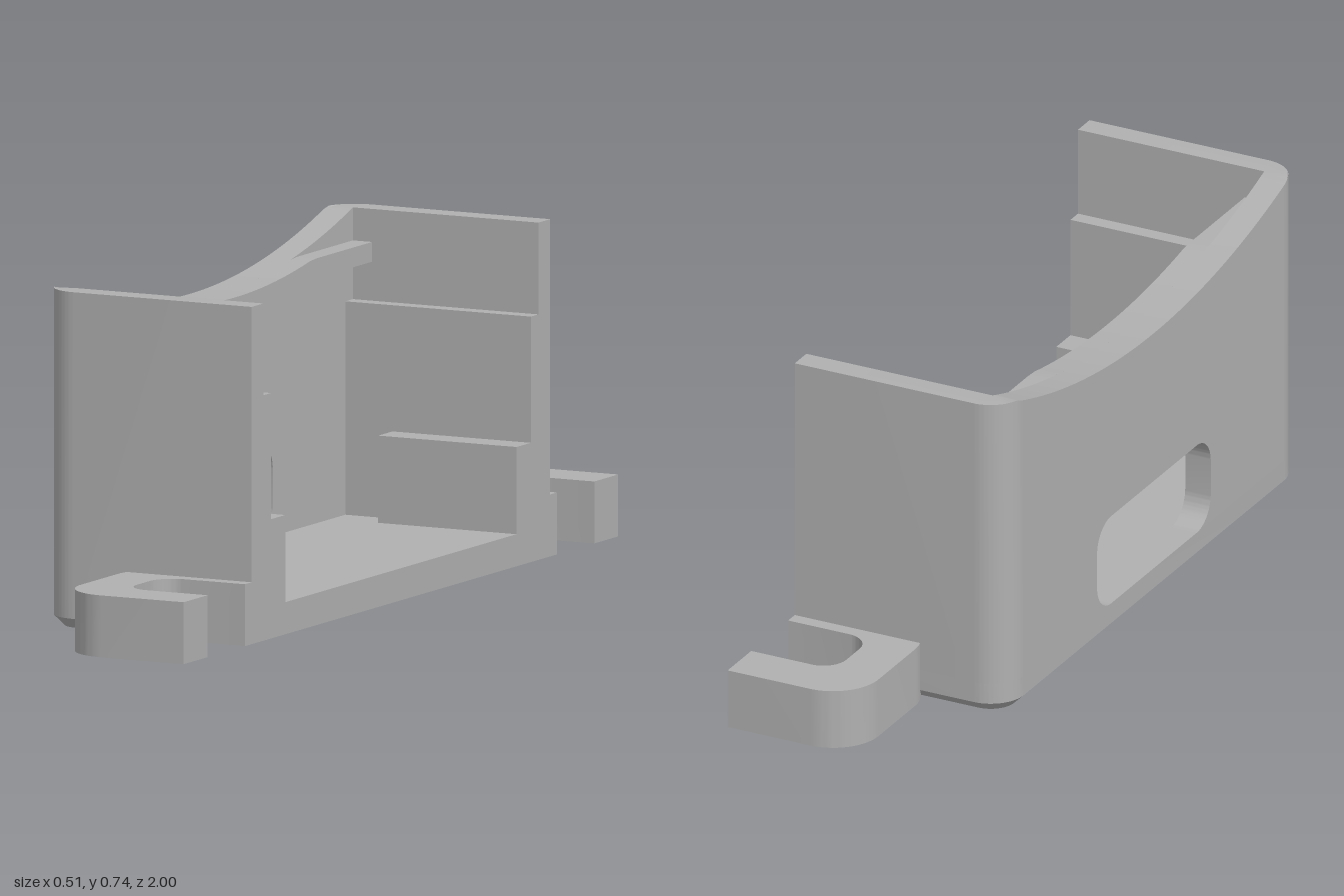
import * as THREE from 'three';
import { toCreasedNormals } from 'three/addons/utils/BufferGeometryUtils.js';

const XB = -0.257, XF = 0.257;        // closed back and open front along x
const ZO = 0.687, R = 0.08;           // outer half width and corner radius
const XI = -0.195, ZI = 0.633;        // inner faces of the walls
const TOP = 0.735, FLOOR = 0.07;
const DIP = 0.105, ARC_R = (ZI * ZI + DIP * DIP) / (2 * DIP);

// Height of the scooped rim at a given z
const rimY = (z) => Math.abs(z) >= ZI
  ? TOP
  : TOP - DIP + ARC_R - Math.sqrt(ARC_R * ARC_R - z * z);

const extrude = (shape, depth, steps = 1) =>
  new THREE.ExtrudeGeometry(shape, { depth, steps, bevelEnabled: false, curveSegments: 12 });

// Plan outlines (x, -z) become solids standing on y = 0
const upright = (shape, depth, steps) => extrude(shape, depth, steps).rotateX(-Math.PI / 2);

// Elevation outlines (z, y) become slabs starting at x0
const slab = (shape, x0, x1) => extrude(shape, x1 - x0).rotateY(Math.PI / 2).translate(x0, 0, 0);

// Move every vertex by a rule
function reshape(geo, rule) {
  const p = geo.attributes.position, v = new THREE.Vector3();
  for (let i = 0; i < p.count; i++) {
    rule(v.fromBufferAttribute(p, i));
    p.setXYZ(i, v.x, v.y, v.z);
  }
  return geo;
}

export function createModel() {
  const model = new THREE.Group();
  model.name = 'bracketHousing';
  const grey = new THREE.MeshStandardMaterial({ color: 0xb0b0b0 });
  grey.name = 'plain grey';

  const add = (parent, name, geo) => {
    const mesh = new THREE.Mesh(toCreasedNormals(geo, 0.5), grey);
    mesh.name = name;
    parent.add(mesh);
  };
  const addBox = (parent, name, x0, x1, y0, y1, z0, z1) => add(parent, name,
    new THREE.BoxGeometry(x1 - x0, y1 - y0, z1 - z0)
      .translate((x0 + x1) / 2, (y0 + y1) / 2, (z0 + z1) / 2));

  // Floor with rounded back corners and a chamfered lower edge
  const plan = new THREE.Shape();
  plan.moveTo(XF, -ZO);
  plan.lineTo(XF, ZO);
  plan.lineTo(XB + R, ZO);
  plan.absarc(XB + R, ZO - R, R, Math.PI / 2, Math.PI, false);
  plan.lineTo(XB, -ZO + R);
  plan.absarc(XB + R, -ZO + R, R, Math.PI, Math.PI * 1.5, false);
  const chamfer = 0.023, k = (R - chamfer) / R, xc = XB + R, zc = ZO - R;
  add(model, 'floor', reshape(upright(plan, FLOOR, 2), (v) => {
    if (v.y < 0.01) {
      if (v.x < xc) v.x = xc + (v.x - xc) * k;
      if (Math.abs(v.z) > zc) v.z = Math.sign(v.z) * (zc + (Math.abs(v.z) - zc) * k);
    } else if (v.y < FLOOR - 0.01) v.y = chamfer;
  }));

  // Back wall with scooped rim and rounded cable opening
  const wall = new THREE.Shape();
  const hw = 0.265, hr = 0.065, hTop = 0.278;
  wall.moveTo(-zc, FLOOR);
  wall.lineTo(-hw + hr, FLOOR);
  wall.absarc(-hw + hr, FLOOR + hr, hr, -Math.PI / 2, -Math.PI, true);
  wall.absarc(-hw + hr, hTop - hr, hr, Math.PI, Math.PI / 2, true);
  wall.absarc(hw - hr, hTop - hr, hr, Math.PI / 2, 0, true);
  wall.absarc(hw - hr, FLOOR + hr, hr, 0, -Math.PI / 2, true);
  wall.lineTo(zc, FLOOR);
  const N = 40;
  for (let i = 0; i <= N; i++) {
    const z = zc * (1 - 2 * i / N);
    wall.lineTo(z, rimY(z));
  }
  add(model, 'backWall', slab(wall, XB, XI));

  // Ledge inside the back wall, trimmed by the scoop
  const ledge = new THREE.Shape();
  ledge.moveTo(-ZI, 0.62);
  ledge.lineTo(ZI, 0.62);
  for (let i = 0; i <= N; i++) {
    const z = ZI * (1 - 2 * i / N);
    ledge.lineTo(z, Math.min(0.663, rimY(z)));
  }
  add(model, 'innerLedge', slab(ledge, XI, -0.148));

  // Side wall plan, including the rounded corner
  const arm = new THREE.Shape();
  arm.moveTo(XF, ZI);
  arm.lineTo(XF, ZO);
  arm.lineTo(xc, ZO);
  arm.absarc(xc, zc, R, Math.PI / 2, Math.PI, false);
  arm.lineTo(XI, zc);
  arm.lineTo(XI, ZI);

  // Open mounting hook plan
  const hook = new THREE.Shape();
  const hx = -0.052, ho = 0.11, sx = 0.055, sr = 0.055;
  const z0 = 0.61, z1 = 1, s0 = 0.718, s1 = 0.89;
  hook.moveTo(XF, z0);
  hook.lineTo(XF, s0);
  hook.lineTo(sx + sr, s0);
  hook.absarc(sx + sr, s0 + sr, sr, -Math.PI / 2, -Math.PI, true);
  hook.absarc(sx + sr, s1 - sr, sr, Math.PI, Math.PI / 2, true);
  hook.lineTo(XF, s1);
  hook.lineTo(XF, z1);
  hook.lineTo(hx + ho, z1);
  hook.absarc(hx + ho, z1 - ho, ho, Math.PI / 2, Math.PI, false);
  hook.absarc(hx + ho, z0 + ho, ho, Math.PI, Math.PI * 1.5, false);

  // Both ends: stepped side wall and hook
  for (const [name, mirror] of [['rearEnd', 1], ['frontEnd', -1]]) {
    const end = new THREE.Group();
    end.name = name;
    end.scale.z = mirror;
    add(end, 'sideWall', reshape(upright(arm, TOP - FLOOR), (v) => {
      v.y = v.y > 0.3 ? rimY(v.z) : FLOOR;
    }));
    addBox(end, 'sideWallStep', XI, XF, FLOOR, 0.535, -ZI, -0.598);
    addBox(end, 'supportBlock', -0.08, XF, FLOOR, 0.26, -0.598, -0.532);
    add(end, 'mountingHook', upright(hook, 0.135));
    model.add(end);
  }
  return model;
}
